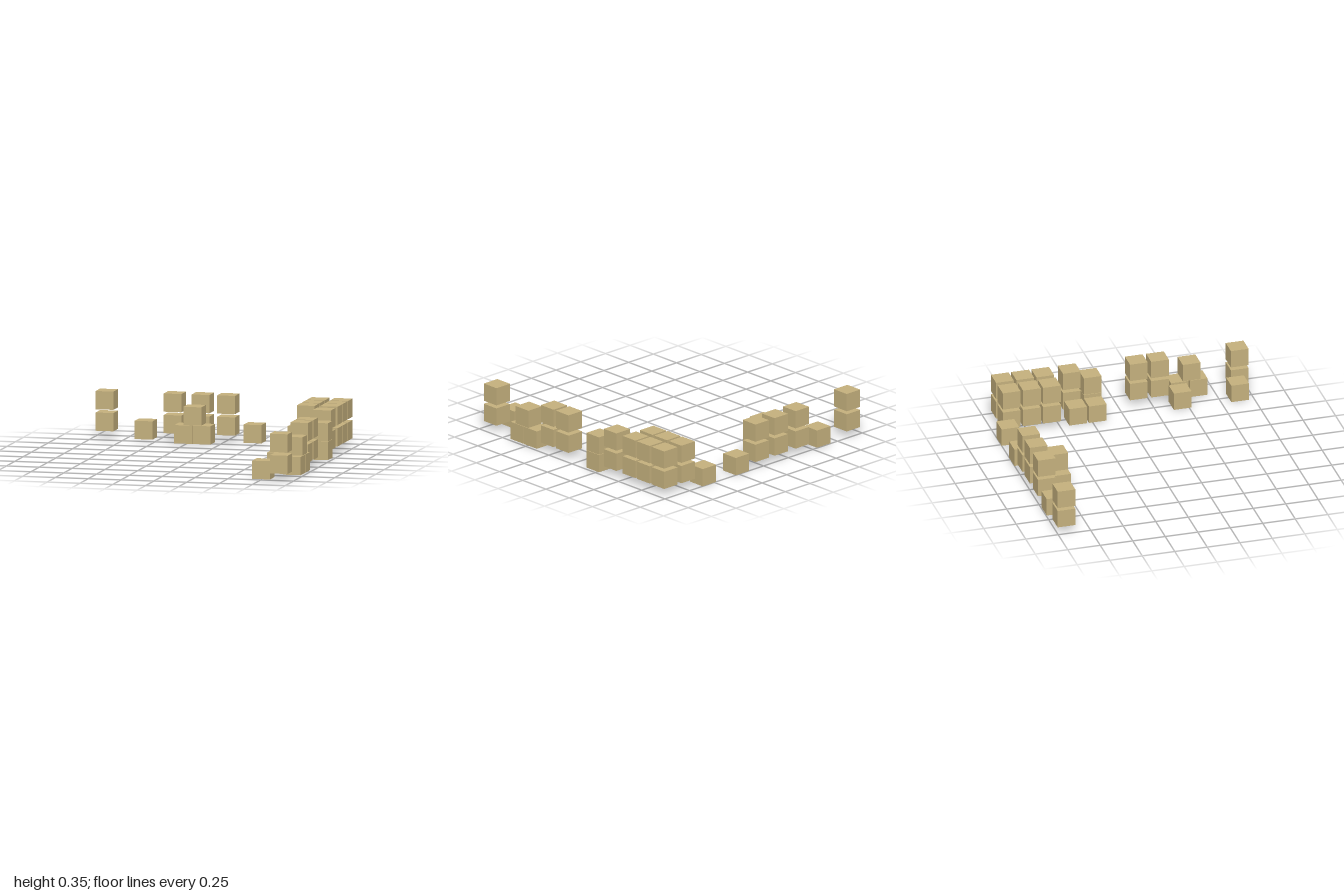
import * as THREE from 'three';

const SIZE = 0.136;
const GROUND = [0.069], FLOATING = [0.12, 0.28], PILE_TOP = [0.208], PILED = [0.069, 0.208];

export function createModel() {
  const model = new THREE.Group();
  const sand = new THREE.MeshStandardMaterial({ color: 0xc4b07d });
  sand.name = 'sand';
  const cube = new THREE.BoxGeometry(SIZE, SIZE, SIZE);

  // Adds a named group of crates; each spot is [x, z, heights of the crate centres]
  function addCrates(name, spots) {
    const group = new THREE.Group();
    group.name = name;
    for (const [x, z, heights] of spots) {
      for (const y of heights) {
        const crate = new THREE.Mesh(cube, sand);
        crate.name = 'crate';
        crate.position.set(x, y, z);
        group.add(crate);
      }
    }
    model.add(group);
  }

  // Row along the back
  addCrates('backRow', [
    [-0.913, -0.93, FLOATING],
    [-0.614, -0.927, GROUND],
    [-0.394, -0.93, FLOATING],
    [-0.181, -0.93, FLOATING],
    [0.013, -0.93, FLOATING],
    [0.214, -0.933, GROUND],
    [0.55, -0.933, GROUND],
  ]);

  // Three-crate pile in front of the back row
  addCrates('backPile', [
    [-0.275, -0.778, GROUND],
    [-0.135, -0.778, GROUND],
    [-0.205, -0.778, PILE_TOP],
  ]);

  // Double rows of stacks in the corner
  addCrates('cornerStacks', [-0.876, -0.72, -0.566].flatMap((z) => [
    [0.712, z, FLOATING],
    [0.887, z, FLOATING],
  ]));

  // Row along the left side
  addCrates('sideRow', [
    [0.72, -0.362, GROUND],
    [0.887, -0.362, FLOATING],
    [0.72, -0.211, GROUND],
    [0.907, -0.196, PILED],
    [0.887, 0.154, FLOATING],
    [0.887, 0.317, FLOATING],
    [0.743, 0.449, GROUND],
    [0.743, 0.891, GROUND],
    [0.887, 0.93, FLOATING],
  ]);

  // Three-crate pile at the side
  addCrates('sidePile', [
    [0.907, 0.475, GROUND],
    [0.907, 0.62, GROUND],
    [0.907, 0.566, PILE_TOP],
  ]);

  return model;
}
